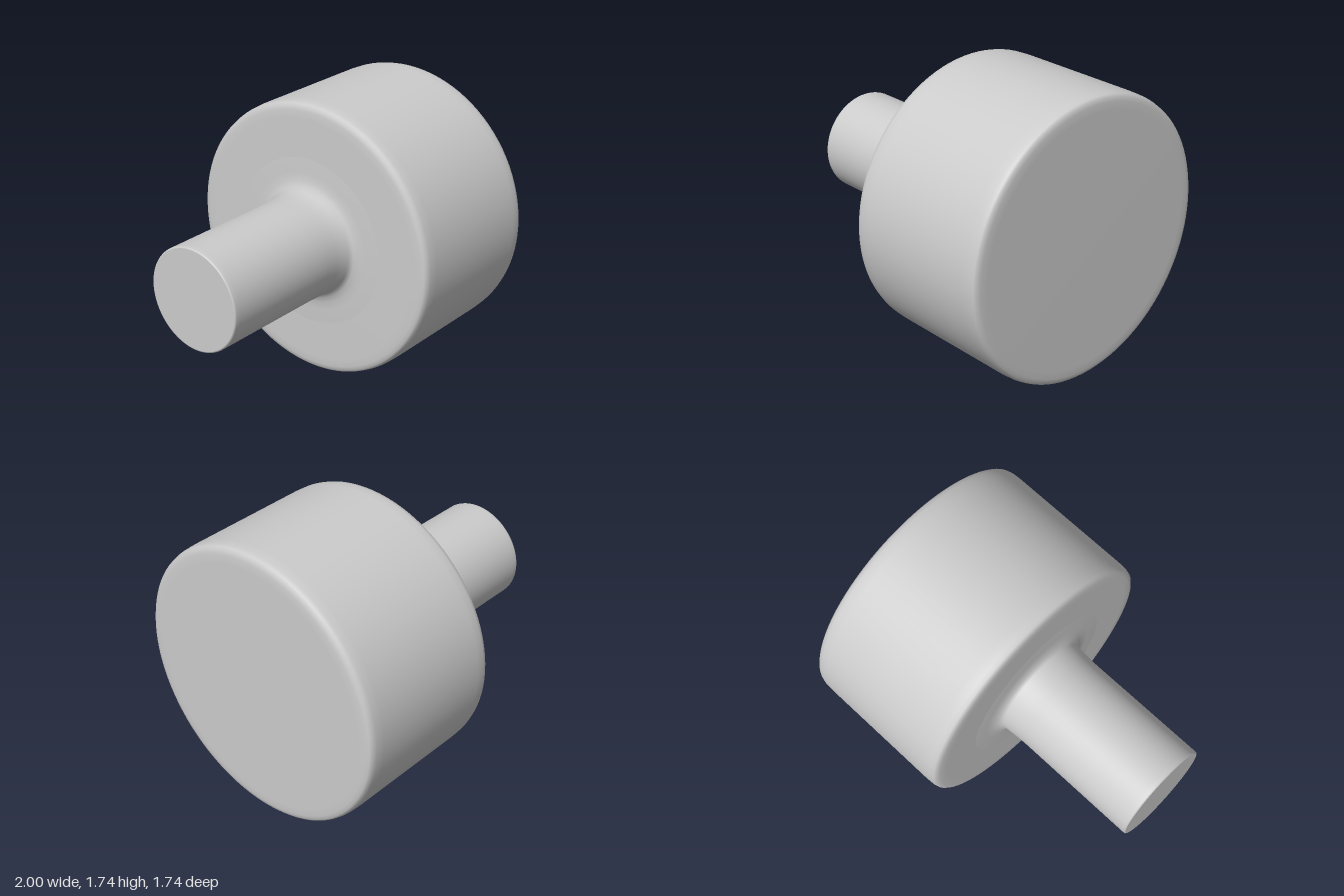
import * as THREE from 'three';

const material = new THREE.MeshStandardMaterial({ color: 0xcccccc, side: THREE.DoubleSide });

// Solid of revolution about the x axis; profile is a list of [radius, x], x rising
function turned(name, profile) {
  const points = profile.map(([r, x]) => new THREE.Vector2(r, x));
  const geometry = new THREE.LatheGeometry(points, 96);
  geometry.rotateZ(-Math.PI / 2);
  const mesh = new THREE.Mesh(geometry, material);
  mesh.name = name;
  return mesh;
}

export function createModel() {
  const group = new THREE.Group();
  group.name = 'knob';

  // Narrow shaft, flaring into the face of the head
  group.add(turned('shaft', [
    [0.308, -1], [0.314, -0.998], [0.317, -0.99], [0.317, -0.96],
    [0.317, -0.2], [0.32, -0.13], [0.327, -0.035],
    [0.355, -0.018], [0.39, -0.006], [0.44, -0.003], [0.53, 0], [0.56, 0.004],
  ]));

  // Flat end of the shaft, kept separate for a crisp edge
  group.add(turned('shaftEnd', [[0, -1], [0.308, -1]]));

  // Wide drum with softly rounded rims
  group.add(turned('head', [
    [0, 0], [0.77, 0], [0.82, 0.002], [0.845, 0.008], [0.858, 0.02], [0.865, 0.045],
    [0.868, 0.1], [0.868, 0.9],
    [0.865, 0.955], [0.858, 0.98], [0.845, 0.992], [0.82, 0.998], [0.77, 1], [0, 1],
  ]));

  group.position.y = 0.868;
  return group;
}
